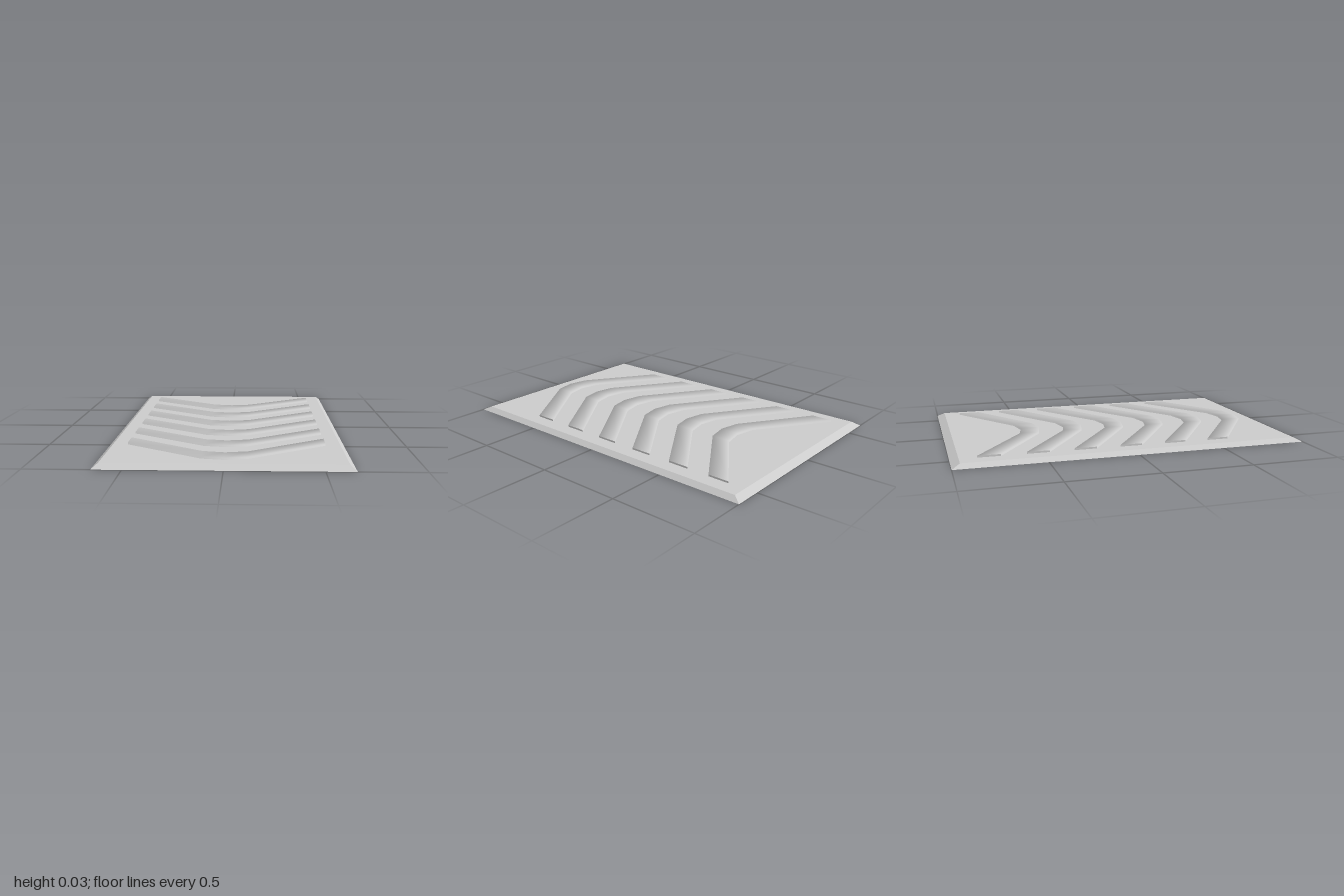
import * as THREE from 'three';

const material = new THREE.MeshStandardMaterial({ color: 0xcccccc, side: THREE.DoubleSide });

const PLATE_Y = 0.023, RIB_Y = 0.033;
const RIB_COUNT = 6, RIB_STEP = 0.262;

// Chevron stations: x, back z, front z, and slope of the edge there
const STATIONS = [
  [-0.543, -0.86, -0.735, 0.7],
  [-0.12, -0.565, -0.45, 0.45],
  [0, -0.54, -0.427, 0],
  [0.12, -0.565, -0.45, -0.45],
  [0.543, -0.86, -0.735, -0.7],
];

// Flat top of the plate, with an opening under every rib
function plateTop() {
  const shape = new THREE.Shape();
  const w = 0.625, d = 0.955;
  shape.moveTo(-w, -d).lineTo(w, -d).lineTo(w, d).lineTo(-w, d).closePath();
  for (let i = 0; i < RIB_COUNT; i++) {
    const dz = i * RIB_STEP;
    const back = STATIONS.map(([x, b]) => new THREE.Vector2(x, -(b + dz)));
    const front = STATIONS.map(([x, , f]) => new THREE.Vector2(x, -(f + dz))).reverse();
    shape.holes.push(new THREE.Path([...back, ...front]));
  }
  const geo = new THREE.ShapeGeometry(shape);
  geo.rotateX(-Math.PI / 2).translate(0, PLATE_Y, 0);
  return geo;
}

// Sloping rim around the plate, open underneath
function plateRim() {
  const ring = (x, y, z) => [[-x, y, z], [x, y, z], [x, y, -z], [-x, y, -z]];
  const low = ring(0.655, 0, 1), high = ring(0.625, PLATE_Y, 0.955);
  const pos = [];
  for (let i = 0; i < 4; i++) {
    const j = (i + 1) % 4;
    pos.push(...low[i], ...low[j], ...high[j], ...low[i], ...high[j], ...high[i]);
  }
  const geo = new THREE.BufferGeometry();
  geo.setAttribute('position', new THREE.Float32BufferAttribute(pos, 3));
  geo.computeVertexNormals();
  return geo;
}

// Raised chevron: flat top and short walls with softened edge normals
function ribGeometry() {
  const pos = [], nor = [], idx = [];
  const add = (p, n) => {
    pos.push(...p);
    nor.push(...n.clone().normalize().toArray());
  };
  const section = ([x, b, f]) => [
    [x, PLATE_Y, b], [x, RIB_Y, b], [x, RIB_Y, f], [x, PLATE_Y, f],
  ];
  STATIONS.forEach((s, i) => {
    const out = new THREE.Vector3(s[3], 0, -1).normalize();
    section(s).forEach((p, j) => {
      const n = out.clone().multiplyScalar(j < 2 ? 1 : -1);
      n.y = 1;
      add(p, n);
    });
    if (i === 0) return;
    for (let j = 0; j < 3; j++) {
      const a = (i - 1) * 4 + j, c = i * 4 + j;
      idx.push(a, a + 1, c, a + 1, c + 1, c);
    }
  });
  // End walls
  for (const side of [-1, 1]) {
    const k = pos.length / 3;
    const s = STATIONS[side < 0 ? 0 : STATIONS.length - 1];
    section(s).forEach((p) => add(p, new THREE.Vector3(side, 0, 0)));
    if (side < 0) idx.push(k, k + 3, k + 2, k, k + 2, k + 1);
    else idx.push(k, k + 2, k + 3, k, k + 1, k + 2);
  }
  const geo = new THREE.BufferGeometry();
  geo.setAttribute('position', new THREE.Float32BufferAttribute(pos, 3));
  geo.setAttribute('normal', new THREE.Float32BufferAttribute(nor, 3));
  geo.setIndex(idx);
  return geo;
}

export function createModel() {
  const model = new THREE.Group();
  model.name = 'chevronPlate';
  const addPart = (name, geo) => {
    const mesh = new THREE.Mesh(geo, material);
    mesh.name = name;
    model.add(mesh);
    return mesh;
  };
  addPart('plateTop', plateTop());
  addPart('plateRim', plateRim());
  const rib = ribGeometry();
  for (let i = 0; i < RIB_COUNT; i++) {
    addPart(`chevronRib${i + 1}`, rib).position.z = i * RIB_STEP;
  }
  return model;
}
